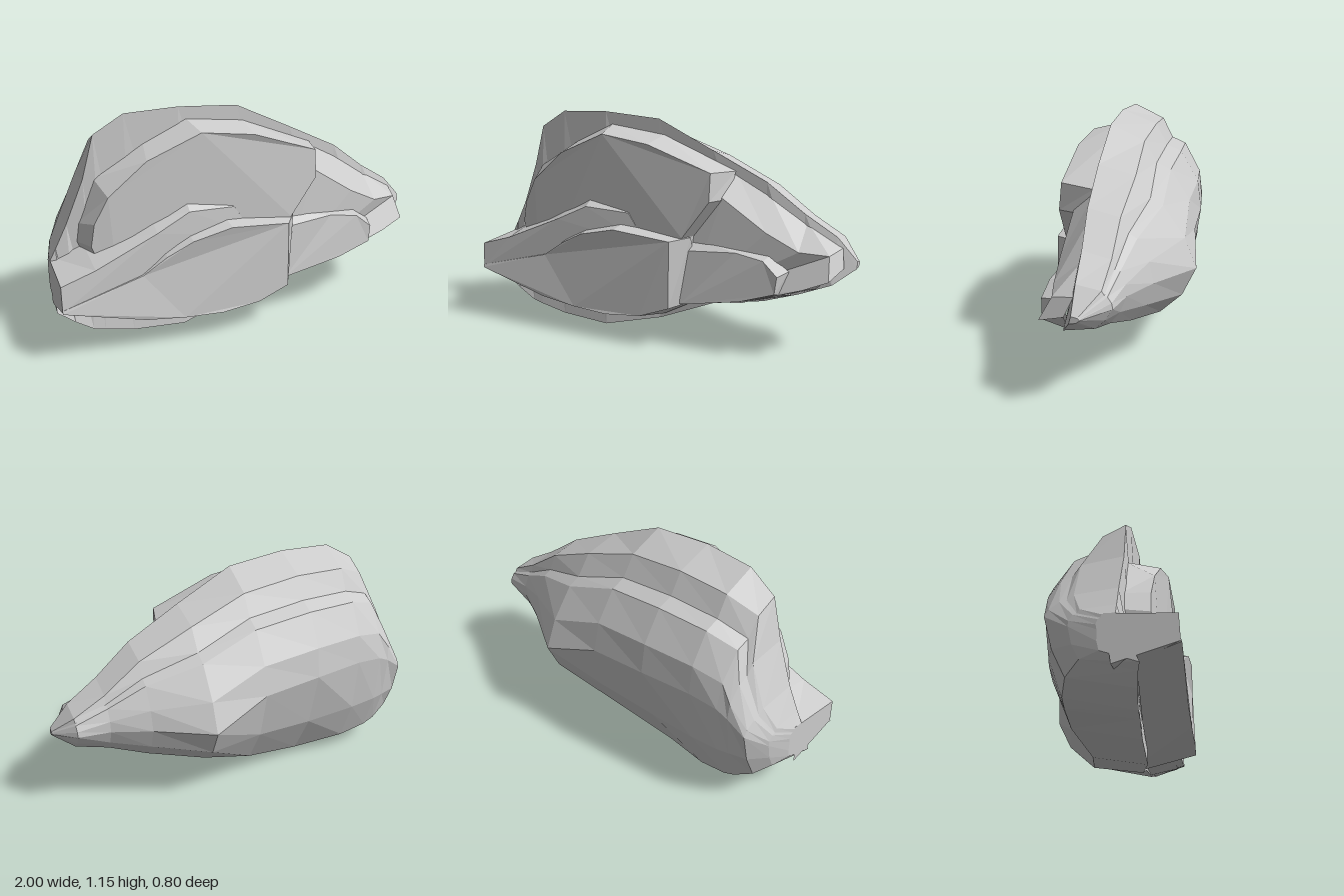
import * as THREE from 'three';

const stone = new THREE.MeshStandardMaterial({ color: 0xcccccc, flatShading: true });
stone.name = 'pale grey stone';

function makeMesh(name, points, faces) {
  let g = new THREE.BufferGeometry();
  g.setAttribute('position', new THREE.Float32BufferAttribute(points.flat(), 3));
  g.setIndex(faces.flat());
  g = g.toNonIndexed();
  g.computeVertexNormals();
  const mesh = new THREE.Mesh(g, stone);
  mesh.name = name;
  return mesh;
}

// Bevelled plate: a front outline (clockwise seen from +z) joined to a wider back outline
function slab(name, front, back) {
  const n = front.length;
  const faces = [];
  for (let i = 0; i < n; i++) {
    const j = (i + 1) % n;
    faces.push([i, j, n + i], [j, n + j, n + i]);
  }
  const flat = front.map((p) => new THREE.Vector2(p[0], p[1]));
  for (const [a, b, c] of THREE.ShapeUtils.triangulateShape(flat, [])) {
    const turn = flat[b].clone().sub(flat[a]).cross(flat[c].clone().sub(flat[a]));
    faces.push(turn > 0 ? [a, b, c] : [a, c, b]);
  }
  return makeMesh(name, [...front, ...back], faces);
}

// Main mass: cross-sections along x.
// x, front crest y z, back crest y z, rearmost y z, rear foot y z, front foot y z
const sections = [
  [-1.00, 0.445, 0.12, 0.44, 0.06, 0.37, 0.04, 0.27, 0.05, 0.205, 0.22],
  [-0.97, 0.50, 0.12, 0.49, -0.04, 0.41, -0.09, 0.25, -0.04, 0.18, 0.21],
  [-0.91, 0.62, 0.12, 0.60, -0.08, 0.50, -0.21, 0.20, -0.11, 0.13, 0.20],
  [-0.82, 0.84, 0.13, 0.81, -0.07, 0.57, -0.23, 0.15, -0.14, 0.07, 0.19],
  [-0.76, 1.055, 0.13, 1.00, 0.02, 0.60, -0.24, 0.12, -0.14, 0.055, 0.19],
  [-0.61, 1.145, 0.135, 1.07, -0.03, 0.62, -0.265, 0.09, -0.14, 0.02, 0.18],
  [-0.34, 1.155, 0.14, 1.085, -0.05, 0.62, -0.31, 0.05, -0.09, 0.00, 0.17],
  [-0.03, 1.13, 0.12, 1.05, -0.06, 0.60, -0.335, 0.11, -0.14, 0.07, 0.11],
  [0.27, 0.985, 0.10, 0.94, -0.09, 0.49, -0.40, 0.24, -0.22, 0.19, 0.09],
  [0.55, 0.845, 0.07, 0.81, -0.09, 0.50, -0.25, 0.30, -0.14, 0.245, 0.09],
  [0.74, 0.70, 0.04, 0.67, -0.10, 0.50, -0.17, 0.36, -0.09, 0.31, 0.09],
  [0.90, 0.60, 0.02, 0.58, -0.10, 0.50, -0.15, 0.40, -0.07, 0.375, 0.08],
  [1.00, 0.49, 0.01, 0.485, -0.02, 0.475, -0.03, 0.46, -0.01, 0.455, 0.02],
];

// Shallow groove, shelf and bulge down the upper rear: fraction from crest to rearmost, outward push
const rearProfile = [[0.24, 0], [0.31, 0.06], [0.66, 0.065]];

function body() {
  const points = [], faces = [], n = 9;
  for (const [x, ay, az, by, bz, dy, dz, fy, fz, gy, gz] of sections) {
    const k = by - fy;
    points.push([x, ay, az], [x, by, bz]);
    for (const [t, push] of rearProfile) {
      points.push([x, by + (dy - by) * t, bz + (dz - bz) * t - push * k]);
    }
    points.push(
      [x, dy, dz],
      [x, (dy + fy) / 2 - 0.03 * k, (dz + fz) / 2 - 0.03 * k],
      [x, fy, fz], [x, gy, gz],
    );
  }
  const last = (sections.length - 1) * n;
  for (let s = 0; s < last; s += n) {
    for (let i = 0; i < n; i++) {
      const j = (i + 1) % n;
      faces.push([s + i, s + n + i, s + j], [s + n + i, s + n + j, s + j]);
    }
  }
  for (let i = 1; i < n - 1; i++) {
    faces.push([0, i, i + 1], [last, last + i + 1, last + i]);
  }
  return makeMesh('mainMass', points, faces);
}

export function createModel() {
  const model = new THREE.Group();
  model.name = 'layeredRock';
  model.add(body());

  // Large upper layer
  model.add(slab('upperLayer', [
    [-0.82, 0.54, 0.25], [-0.80, 0.65, 0.25], [-0.73, 0.78, 0.26], [-0.54, 0.94, 0.27],
    [-0.27, 1.055, 0.285], [0, 1.02, 0.29], [0.34, 0.90, 0.27], [0.34, 0.76, 0.285],
    [0.20, 0.57, 0.30], [0.17, 0.23, 0.29], [-0.2, 0.15, 0.30], [-0.7, 0.2, 0.28],
  ], [
    [-0.88, 0.53, 0.11], [-0.86, 0.62, 0.12], [-0.77, 0.84, 0.13], [-0.52, 0.99, 0.135],
    [-0.3, 1.09, 0.14], [0, 1.05, 0.12], [0.39, 0.89, 0.09], [0.385, 0.76, 0.15],
    [0.24, 0.57, 0.18], [0.21, 0.21, 0.15], [-0.2, 0.09, 0.15], [-0.75, 0.14, 0.15],
  ]));

  // Middle flap flaring out to the left end
  model.add(slab('middleFlap', [
    [-1, 0.42, 0.385], [-0.83, 0.47, 0.37], [-0.52, 0.60, 0.345], [-0.35, 0.68, 0.325],
    [-0.11, 0.665, 0.297], [0, 0.5, 0.29], [0.05, 0.22, 0.32], [-0.2, 0.16, 0.34],
    [-0.6, 0.19, 0.365], [-1, 0.29, 0.39],
  ], [
    [-1, 0.445, 0.07], [-0.84, 0.52, 0.13], [-0.52, 0.64, 0.25], [-0.35, 0.725, 0.26],
    [-0.11, 0.675, 0.26], [0.05, 0.5, 0.2], [0.08, 0.2, 0.2], [-0.2, 0.12, 0.2],
    [-0.6, 0.14, 0.18], [-1, 0.205, 0.10],
  ]));

  // Lowest and foremost layer
  model.add(slab('frontLayer', [
    [-1, 0.30, 0.391], [-0.6, 0.40, 0.36], [-0.48, 0.48, 0.367], [-0.35, 0.545, 0.378],
    [-0.15, 0.59, 0.38], [0.16, 0.56, 0.36], [0.16, 0.22, 0.365], [0, 0.16, 0.375],
    [-0.2, 0.14, 0.385], [-0.4, 0.15, 0.385], [-0.6, 0.175, 0.385], [-1, 0.285, 0.395],
  ], [
    [-0.99, 0.32, 0.20], [-0.6, 0.41, 0.30], [-0.48, 0.50, 0.30], [-0.35, 0.56, 0.30],
    [-0.15, 0.605, 0.29], [0.23, 0.57, 0.26], [0.21, 0.21, 0.11], [0, 0.10, 0.12],
    [-0.2, 0.08, 0.15], [-0.4, 0.085, 0.17], [-0.6, 0.10, 0.18], [-0.96, 0.235, 0.20],
  ]));

  // Sloping face towards the narrow end
  model.add(slab('narrowEndSlope', [
    [0.2, 0.85, 0.20], [0.37, 0.77, 0.20], [0.6, 0.62, 0.19], [0.76, 0.54, 0.17],
    [0.9, 0.53, 0.13], [0.92, 0.42, 0.19], [0.8, 0.37, 0.21], [0.5, 0.27, 0.24],
    [0.2, 0.23, 0.25],
  ], [
    [0.2, 0.97, 0.10], [0.39, 0.88, 0.08], [0.56, 0.79, 0.06], [0.75, 0.66, 0.03],
    [0.93, 0.55, 0.02], [0.95, 0.46, 0.06], [0.82, 0.345, 0.08], [0.5, 0.24, 0.09],
    [0.2, 0.20, 0.09],
  ]));

  // Small lower ledge at the narrow end
  model.add(slab('lowerLedge', [
    [0.18, 0.50, 0.27], [0.46, 0.515, 0.235], [0.61, 0.495, 0.245], [0.69, 0.43, 0.26],
    [0.68, 0.345, 0.265], [0.5, 0.285, 0.275], [0.18, 0.225, 0.285],
  ], [
    [0.18, 0.56, 0.2], [0.46, 0.53, 0.19], [0.62, 0.51, 0.18], [0.715, 0.44, 0.17],
    [0.70, 0.30, 0.10], [0.5, 0.24, 0.09], [0.18, 0.20, 0.09],
  ]));

  return model;
}
